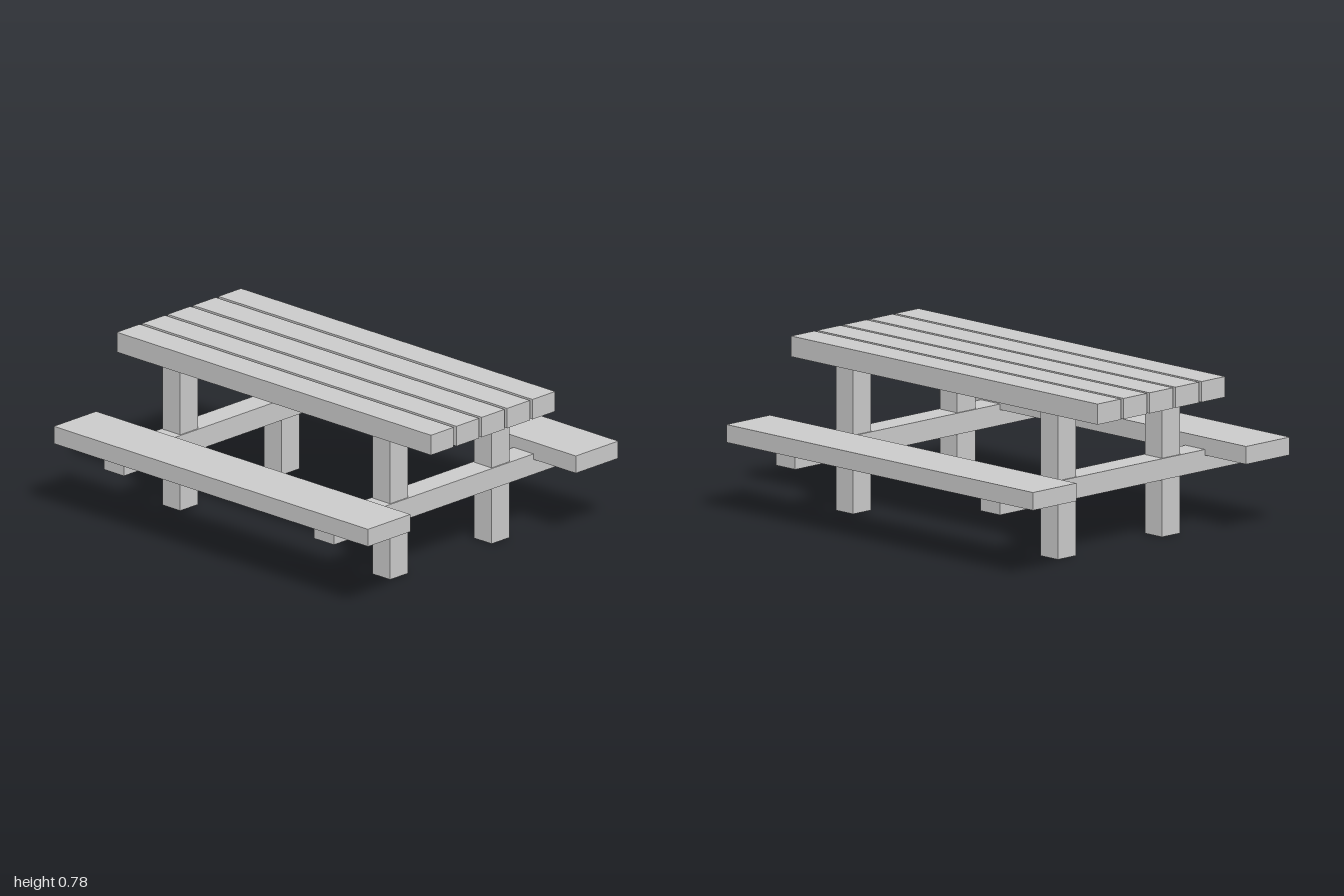
import * as THREE from 'three';

export function createModel() {
  const model = new THREE.Group();
  model.name = 'picnicTable';
  const material = new THREE.MeshStandardMaterial({ color: 0xcccccc, flatShading: true });

  // Timber centred on x and z, spanning y0 to y1
  function timber(name, width, y0, y1, depth, x, z) {
    const mesh = new THREE.Mesh(new THREE.BoxGeometry(width, y1 - y0, depth), material);
    mesh.name = name;
    mesh.position.set(x, (y0 + y1) / 2, z);
    model.add(mesh);
  }

  // Five tabletop planks with narrow gaps
  for (let i = -2; i <= 2; i++) timber('topPlank', 2, 0.68, 0.777, 0.15, 0, i * 0.1675);

  // Bench seats, notched over the ends of the cross beams
  for (const side of [-1, 1]) timber('benchSeat', 2, 0.343, 0.427, 0.28, 0, side * 0.686);

  // Two trestles: a cross beam slightly thicker than its pair of legs
  for (const end of [-1, 1]) {
    const x = end * 0.668;
    timber('crossBeam', 0.126, 0.27, 0.37, 1.545, x, 0);
    for (const side of [-1, 1]) timber('leg', 0.112, 0, 0.685, 0.117, x, side * 0.335);
  }
  return model;
}
